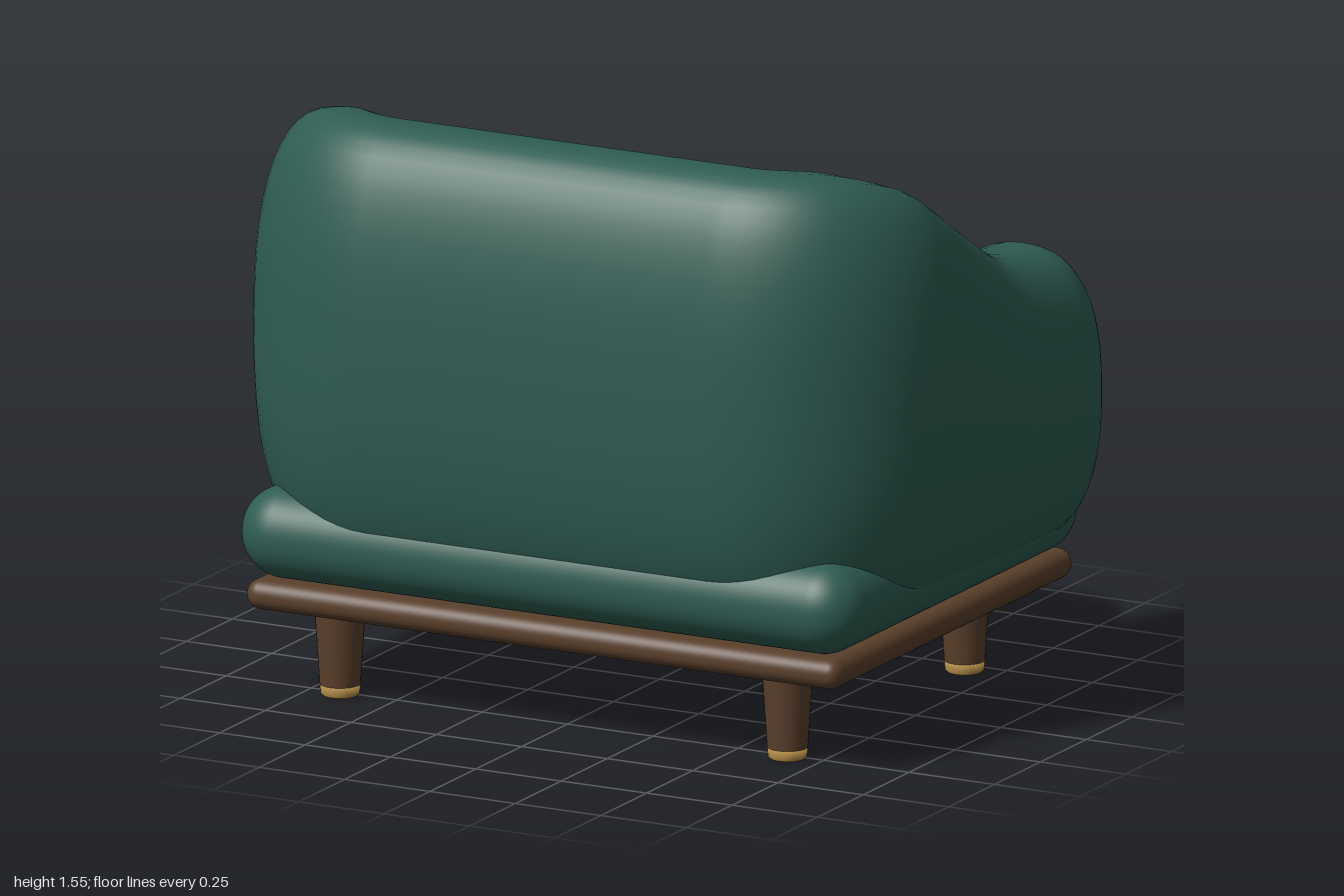
import * as THREE from 'three';
import { mergeVertices } from 'three/addons/utils/BufferGeometryUtils.js';
import { RoundedBoxGeometry } from 'three/addons/geometries/RoundedBoxGeometry.js';

const spow = (v, e) => Math.sign(v) * Math.pow(Math.abs(v), e);

// Weld coincident points and give smooth normals
function smooth(geo) {
  geo.deleteAttribute('uv');
  geo.deleteAttribute('normal');
  const g = mergeVertices(geo, 1e-4);
  g.computeVertexNormals();
  return g;
}

// Stuffed cushion: plan exponent n, edge profile exponent m (y is its thickness)
function pillow(w, h, d, n, m) {
  const geo = new THREE.SphereGeometry(1, 64, 40);
  const p = geo.attributes.position;
  for (let i = 0; i < p.count; i++) {
    const y = THREE.MathUtils.clamp(p.getY(i), -1, 1);
    const a = Math.atan2(p.getZ(i), p.getX(i));
    const r = Math.pow(Math.max(0, 1 - y * y), 1 / m);
    p.setXYZ(i, w / 2 * r * spow(Math.cos(a), 2 / n), h / 2 * spow(y, 2 / m), d / 2 * r * spow(Math.sin(a), 2 / n));
  }
  return smooth(geo);
}

// Crest height of the wraparound shell, from arm front to back
const crest = new THREE.SplineCurve([
  [-0.5, 1.145], [-0.4, 1.153], [-0.3, 1.172], [-0.2, 1.21], [0, 1.335], [0.2, 1.46], [0.4, 1.535], [0.51, 1.55],
].map(([z, y]) => new THREE.Vector2(z, y)));
const crestPoints = crest.getPoints(140);
function crestAt(z) {
  const k = crestPoints.findIndex(p => p.x >= z);
  if (k < 0) return 1.55;
  if (k === 0) return 1.145;
  const a = crestPoints[k - 1], b = crestPoints[k];
  return a.y + (b.y - a.y) * (z - a.x) / (b.x - a.x);
}

// Arms and back: one oval section swept round a U, closed by round ends
function shellGeometry() {
  const half = [];
  for (let i = 0; i <= 12; i++) {
    const f = i / 12 * Math.PI / 2;
    half.push({ x: 0.78, z: -0.5 - 0.22 * Math.cos(f), nx: 1, nz: 0, s: Math.sin(f) });
  }
  for (let i = 1; i <= 20; i++) half.push({ x: 0.78, z: -0.5 + 0.73 * i / 20, nx: 1, nz: 0, s: 1 });
  for (let i = 1; i <= 16; i++) {
    const f = i / 16 * Math.PI / 2, c = Math.cos(f), s = Math.sin(f);
    half.push({ x: 0.5 + 0.28 * c, z: 0.23 + 0.28 * s, nx: c, nz: s, s: 1 });
  }
  half.push({ x: 0.25, z: 0.51, nx: 0, nz: 1, s: 1 });
  const path = [...half, { x: 0, z: 0.51, nx: 0, nz: 1, s: 1 },
    ...half.slice().reverse().map(q => ({ ...q, x: -q.x, nx: -q.nx }))];

  const SIDES = 48, pos = [], idx = [];
  path.forEach((q, i) => {
    const top = crestAt(q.z), bottom = 0.36, mid = (top + bottom) / 2;
    for (let j = 0; j < SIDES; j++) {
      const a = j / SIDES * Math.PI * 2;
      const o = 0.218 * q.s * spow(Math.cos(a), 0.8);
      pos.push(q.x + q.nx * o, mid + (top - mid) * q.s * spow(Math.sin(a), 0.8), q.z + q.nz * o);
      if (i < path.length - 1) {
        const A = i * SIDES + j, B = i * SIDES + (j + 1) % SIDES;
        idx.push(A, B, A + SIDES, B, B + SIDES, A + SIDES);
      }
    }
  });
  const geo = new THREE.BufferGeometry();
  geo.setAttribute('position', new THREE.Float32BufferAttribute(pos, 3));
  geo.setIndex(idx);
  return smooth(geo);
}

// Closed piping cord following a rounded rectangle in the xz plane
function pipingGeometry(w, d, n) {
  const pts = [];
  for (let i = 0; i < 64; i++) {
    const a = i / 64 * Math.PI * 2;
    pts.push(new THREE.Vector3(w / 2 * spow(Math.cos(a), 2 / n), 0, d / 2 * spow(Math.sin(a), 2 / n)));
  }
  return new THREE.TubeGeometry(new THREE.CatmullRomCurve3(pts, true), 160, 0.008, 8, true);
}

export function createModel() {
  const chair = new THREE.Group();
  chair.name = 'armchair';
  const mat = (name, color) => {
    const m = new THREE.MeshStandardMaterial({ color });
    m.name = name;
    return m;
  };
  const fabric = mat('green fabric', 0x2f5d52);
  const wood = mat('walnut wood', 0x5a402c);
  const brass = mat('brass', 0xb08a48);
  const add = (name, geo, material, x, y, z, parent = chair) => {
    const mesh = new THREE.Mesh(geo, material);
    mesh.name = name;
    mesh.position.set(x, y, z);
    parent.add(mesh);
    return mesh;
  };

  // Base
  add('plinth', new RoundedBoxGeometry(1.74, 0.08, 1.31, 5, 0.038), wood, 0, 0.27, 0);
  add('baseCushion', new RoundedBoxGeometry(1.81, 0.245, 1.36, 8, 0.12), fabric, 0, 0.43, 0);

  // Upholstery
  add('armsAndBack', shellGeometry(), fabric, 0, 0, 0);
  add('seatCushion', pillow(1.13, 0.38, 1.04, 5, 2.6), fabric, 0, 0.64, -0.21);

  // Back cushion, leaning back, with piping round its front face
  const back = new THREE.Group();
  back.name = 'backCushion';
  back.position.set(0, 1.15, 0.345);
  back.rotation.x = -1.4;
  chair.add(back);
  add('backPad', pillow(1.06, 0.2, 0.63, 5, 3.5), fabric, 0, 0, 0, back);
  add('backPiping', pipingGeometry(1.06, 0.59, 5), fabric, 0, 0.075, 0.01, back);

  // Tapered legs with brass tips
  const legGeo = new THREE.CylinderGeometry(0.067, 0.053, 0.21, 28);
  const tipGeo = new THREE.LatheGeometry(
    [[0, 0], [0.046, 0], [0.051, 0.006], [0.053, 0.03], [0, 0.03]].map(([x, y]) => new THREE.Vector2(x, y)), 28);
  for (const x of [-0.655, 0.655]) {
    for (const z of [-0.445, 0.52]) {
      add('leg', legGeo, wood, x, 0.135, z);
      add('legTip', tipGeo, brass, x, 0, z);
    }
  }
  return chair;
}
